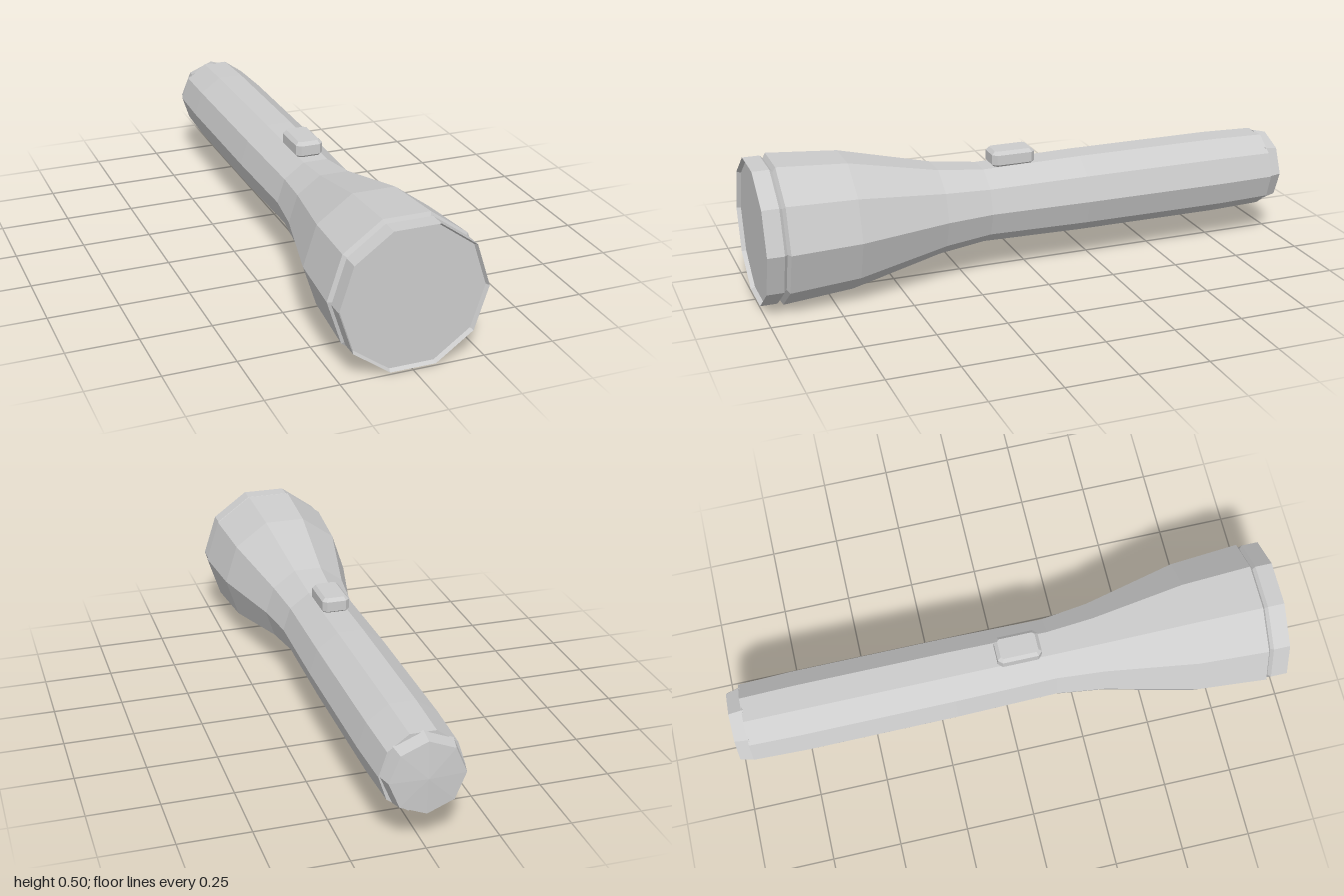
import * as THREE from 'three';

const AXIS_Y = 0.252;

// Faceted solid turned about the z axis; profile is [radius, z] from back to front
function turned(name, profile, sides, start, material, x = 0) {
  const points = profile.map(([r, z]) => new THREE.Vector2(r, z));
  const geometry = new THREE.LatheGeometry(points, sides, start);
  geometry.rotateX(Math.PI / 2);
  const mesh = new THREE.Mesh(geometry, material);
  mesh.name = name;
  mesh.position.set(x, AXIS_Y, 0);
  return mesh;
}

export function createModel() {
  const group = new THREE.Group();
  group.name = 'flashlight';
  const grey = new THREE.MeshStandardMaterial({ color: 0xcccccc, flatShading: true });
  grey.name = 'grey';
  const flatTop = Math.PI / 10;

  // Ten-sided handle flaring into the head, ending at the groove
  group.add(turned('body', [
    [0, -0.945], [0.144, -0.945], [0.15, -0.75], [0.15, -0.2], [0.144, 0.17],
    [0.166, 0.34], [0.244, 0.67], [0.264, 0.92], [0.245, 0.93], [0, 0.93],
  ], 10, flatTop, grey));

  // Bezel ring with a shallow sloped inner lip
  group.add(turned('bezel', [
    [0.245, 0.928], [0.257, 0.94], [0.257, 1], [0.25, 0.985],
  ], 10, flatTop, grey));

  // Flat lens
  group.add(turned('lens', [[0.25, 0.985], [0, 0.985]], 10, flatTop, grey));

  // Eight-sided tail cap, slightly domed
  group.add(turned('tailCap', [
    [0, -1], [0.129, -0.992], [0.142, -0.94], [0, -0.94],
  ], 8, 0, grey, -0.002));

  // Sliding switch: a block with cut corners and bevelled edges
  const w = 0.038, l = 0.068, c = 0.008, bevel = 0.012;
  const plan = new THREE.Shape([
    [w, -l + c], [w, l - c], [w - c, l], [-w + c, l],
    [-w, l - c], [-w, -l + c], [-w + c, -l], [w - c, -l],
  ].map(([x, y]) => new THREE.Vector2(x, y)));
  const block = new THREE.ExtrudeGeometry(plan, {
    depth: 0.036, bevelEnabled: true, bevelSegments: 1,
    bevelSize: bevel, bevelThickness: bevel,
  });
  block.rotateX(-Math.PI / 2);
  const button = new THREE.Mesh(block, grey);
  button.name = 'switch';
  button.position.set(-0.003, 0.397, 0.052);
  group.add(button);

  return group;
}
